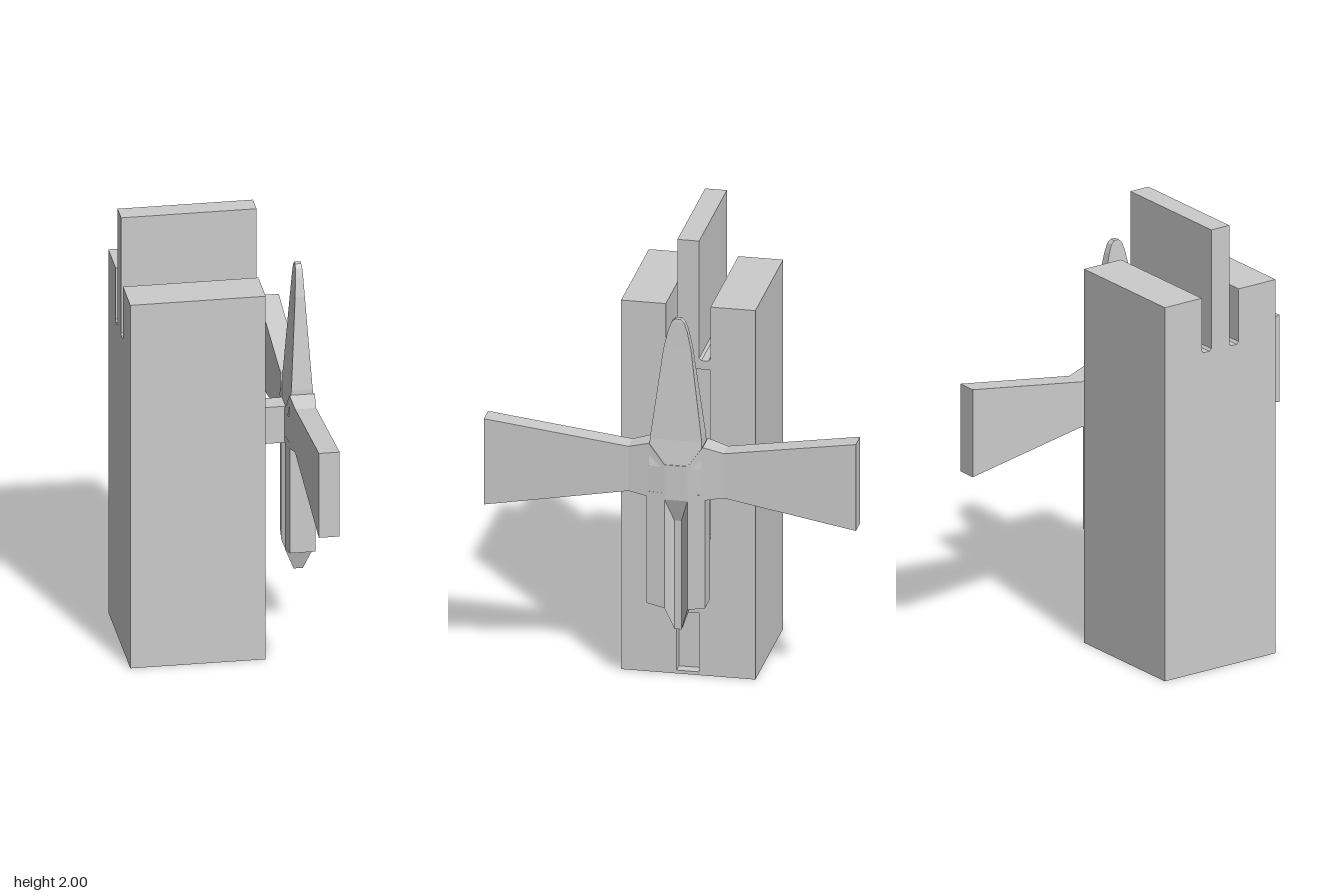
import * as THREE from 'three';

const material = new THREE.MeshStandardMaterial({ color: 0xcccccc, flatShading: true });

// Loft of rectangles along z. Each station: [t, x0, x1, y0, y1]
function loft(stations) {
  const rings = stations.map(([t, x0, x1, y0, y1]) =>
    [[x0, y0, t], [x1, y0, t], [x1, y1, t], [x0, y1, t]]);
  const pos = [];
  const quad = (a, b, c, d) => pos.push(...a, ...b, ...c, ...a, ...c, ...d);
  for (let s = 0; s < rings.length - 1; s++) {
    const a = rings[s], b = rings[s + 1];
    for (let i = 0; i < 4; i++) {
      const j = (i + 1) % 4;
      quad(a[i], a[j], b[j], b[i]);
    }
  }
  const first = rings[0], last = rings[rings.length - 1];
  quad(first[3], first[2], first[1], first[0]);
  quad(last[0], last[1], last[2], last[3]);
  const g = new THREE.BufferGeometry();
  g.setAttribute('position', new THREE.Float32BufferAttribute(pos, 3));
  g.computeVertexNormals();
  return g;
}

// Same loft, standing along y. Each station: [y, halfX, centreZ, halfZ]
const loftUp = (stations) => loft(stations.map(([y, hx, cz, hz]) =>
  [y, -hx, hx, -cz - hz, -cz + hz])).rotateX(-Math.PI / 2);

function rectPath(u0, u1, y0, y1) {
  return new THREE.Path([[u0, y0], [u1, y0], [u1, y1], [u0, y1]]
    .map(([u, y]) => new THREE.Vector2(u, y)));
}

// Tower outline (u = -z) with a raised centre slab between two slots
function towerSlice(x0, x1, holes) {
  const shape = new THREE.Shape([
    [-0.26, 0], [0.325, 0], [0.325, 1.7], [0.13, 1.7], [0.13, 1.46], [0.12, 1.45],
    [0.09, 1.45], [0.08, 1.46], [0.08, 2], [-0.015, 2], [-0.015, 1.46], [-0.025, 1.45],
    [-0.055, 1.45], [-0.065, 1.46], [-0.065, 1.7], [-0.26, 1.7],
  ].map(([u, y]) => new THREE.Vector2(u, y)));
  shape.holes.push(...holes);
  return new THREE.ExtrudeGeometry(shape, { depth: x1 - x0, bevelEnabled: false })
    .rotateY(Math.PI / 2).translate(x0, 0, 0);
}

export function createModel() {
  const model = new THREE.Group();
  model.name = 'towerWithVane';
  const add = (parent, name, geometry) => {
    const mesh = new THREE.Mesh(geometry, material);
    mesh.name = name;
    parent.add(mesh);
    return mesh;
  };

  // Tower: solid core plus a facing pierced by the window and door recesses
  const tower = new THREE.Group();
  tower.name = 'tower';
  model.add(tower);
  add(tower, 'towerCore', towerSlice(-0.42, 0.115, []));
  add(tower, 'towerFacing', towerSlice(0.115, 0.165, [
    rectPath(-0.065, 0.13, 0.63, 1.41),
    rectPath(-0.018, 0.08, 0.015, 0.285),
  ]));

  // Axle carrying the four-armed vane
  add(model, 'axle', new THREE.BoxGeometry(0.22, 0.17, 0.095).translate(0.22, 0.98, -0.035));

  const vane = new THREE.Group();
  vane.name = 'vane';
  vane.position.x = 0.35;
  model.add(vane);

  // Side arms, flaring outward from the swollen hub
  add(vane, 'sideArms', loft([
    [-0.81, -0.045, 0.045, 0.817, 1.215],
    [-0.235, -0.045, 0.045, 0.92, 1.125],
    [-0.145, -0.055, 0.055, 0.905, 1.15],
    [-0.08, -0.063, 0.063, 0.9, 1.06],
    [0.02, -0.063, 0.063, 0.9, 1.06],
    [0.09, -0.055, 0.055, 0.905, 1.15],
    [0.18, -0.045, 0.045, 0.92, 1.125],
    [0.81, -0.045, 0.045, 0.805, 1.2],
  ]));

  // Upper arm tapering to a blunt point
  add(vane, 'upperArm', loftUp([
    [1.05, 0.061, -0.026, 0.115],
    [1.17, 0.046, -0.026, 0.113],
    [1.58, 0.021, -0.027, 0.06],
    [1.66, 0.017, -0.028, 0.042],
    [1.7, 0.015, -0.028, 0.028],
    [1.715, 0.013, -0.028, 0.012],
  ]));

  // Lower arm with a deep groove down each broad face and a pointed foot
  add(vane, 'lowerArm', loft([
    [-0.155, 0.055, 0.41], [-0.08, 0.063, 0.4], [-0.045, 0.02, 0.29],
    [-0.015, 0.02, 0.29], [0.02, 0.063, 0.4], [0.1, 0.055, 0.415],
  ].map(([z, hx, y]) => [z, -hx, hx, y, 0.93])));

  // Sloping head of the grooves
  add(vane, 'grooveHead', loftUp([
    [0.79, 0.02, -0.03, 0.015],
    [0.9, 0.063, -0.03, 0.05],
    [0.95, 0.063, -0.03, 0.05],
  ]));

  return model;
}
